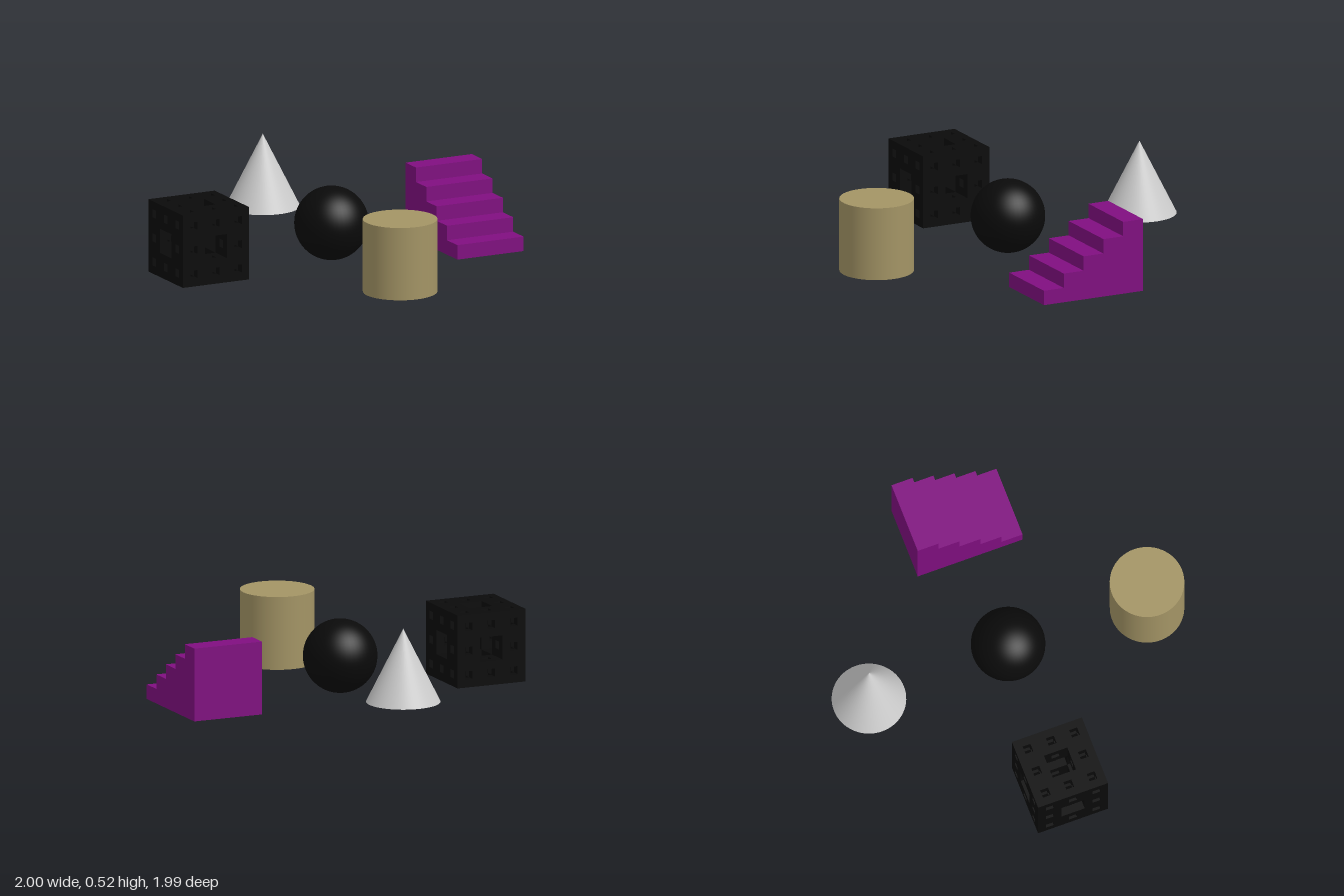
import * as THREE from 'three';
import { mergeGeometries } from 'three/addons/utils/BufferGeometryUtils.js';

const SIZE = 0.4;

// Cube sponge, two levels deep: only the exposed cell faces are kept
function spongeGeometry(size) {
  const n = 9, cell = size / n;
  const centred = (a, b, c) => (a === 1) + (b === 1) + (c === 1) >= 2;
  const solid = (i, j, k) => {
    if ([i, j, k].some((v) => v < 0 || v >= n)) return false;
    const big = [i, j, k].map((v) => Math.floor(v / 3));
    return !centred(...big) && !centred(i % 3, j % 3, k % 3);
  };
  const sides = [[1, 0, 0], [-1, 0, 0], [0, 1, 0], [0, -1, 0], [0, 0, 1], [0, 0, -1]].map((d) => {
    const face = new THREE.PlaneGeometry(cell, cell).translate(0, 0, cell / 2);
    const turn = new THREE.Quaternion().setFromUnitVectors(new THREE.Vector3(0, 0, 1), new THREE.Vector3(...d));
    return { d, face: face.applyQuaternion(turn) };
  });
  const faces = [];
  for (let i = 0; i < n; i++)
    for (let j = 0; j < n; j++)
      for (let k = 0; k < n; k++) {
        if (!solid(i, j, k)) continue;
        for (const { d, face } of sides) {
          if (solid(i + d[0], j + d[1], k + d[2])) continue;
          faces.push(face.clone().translate((i - 4) * cell, (j - 4) * cell, (k - 4) * cell));
        }
      }
  return mergeGeometries(faces);
}

// Solid staircase: stepped side profile extruded across its width
function stairsGeometry(steps, width, height, depth) {
  const run = depth / steps, rise = height / steps;
  const profile = new THREE.Shape();
  profile.moveTo(-depth / 2, 0);
  profile.lineTo(depth / 2, 0);
  for (let s = 0; s < steps; s++) {
    profile.lineTo(depth / 2 - s * run, (s + 1) * rise);
    profile.lineTo(depth / 2 - (s + 1) * run, (s + 1) * rise);
  }
  profile.closePath();
  return new THREE.ExtrudeGeometry(profile, { depth: width, bevelEnabled: false })
    .translate(0, 0, -width / 2)
    .rotateY(-Math.PI / 2);
}

export function createModel() {
  const model = new THREE.Group();
  const add = (name, geometry, color, x, y, z) => {
    const mesh = new THREE.Mesh(geometry, new THREE.MeshStandardMaterial({ color }));
    mesh.name = name;
    mesh.position.set(x, y, z);
    model.add(mesh);
  };

  const r = SIZE / 2;
  add('sponge', spongeGeometry(SIZE), 0x0a0a0a, -0.8, 0.208, -0.003);
  add('sphere', new THREE.SphereGeometry(r, 48, 32), 0x0a0a0a, 0, 0.205, 0);
  add('cylinder', new THREE.CylinderGeometry(r, r, SIZE, 64), 0xa39465, 0, 0.208, 0.795);
  add('cone', new THREE.ConeGeometry(r, SIZE, 64), 0xcccccc, 0, 0.317, -0.796);
  add('stairs', stairsGeometry(5, SIZE, SIZE, 0.6), 0x800f80, 0.8, 0, 0.008);
  return model;
}
